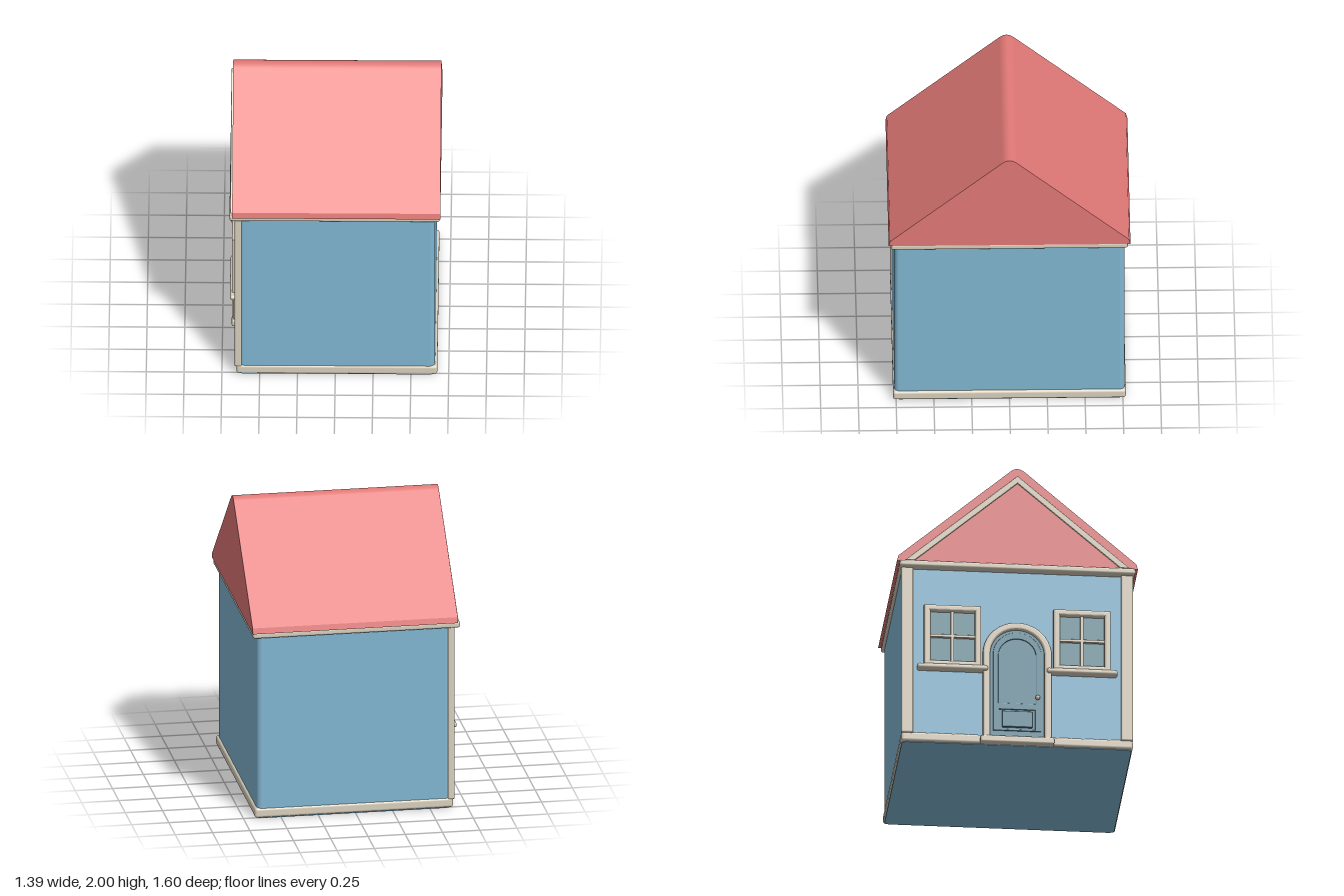
import * as THREE from 'three';
import { RoundedBoxGeometry } from 'three/addons/geometries/RoundedBoxGeometry.js';

const mat = (name, color) => Object.assign(new THREE.MeshStandardMaterial({ color }), { name });

export function createModel() {
  const house = new THREE.Group();
  house.name = 'house';
  const red = mat('roof red', 0xe07876);
  const blue = mat('wall blue', 0x80b6d1);
  const cream = mat('trim cream', 0xd8cfbd);
  const teal = mat('door teal', 0x5c8a9c);
  const glass = mat('glass teal', 0x6a949f);

  const add = (name, geo, material, x = 0, y = 0, z = 0, parent = house) => {
    const m = new THREE.Mesh(geo, material);
    m.name = name;
    m.position.set(x, y, z);
    parent.add(m);
    return m;
  };
  // Rounded box given by its extents
  const block = (name, material, [x0, x1], [y0, y1], [z0, z1], r, parent) =>
    add(name, new RoundedBoxGeometry(x1 - x0, y1 - y0, z1 - z0, 3, r), material,
      (x0 + x1) / 2, (y0 + y1) / 2, (z0 + z1) / 2, parent);
  // Plate drawn in the z-y plane and extruded from x = x0 outwards to x = x1 (towards -x)
  const plate = (name, shape, material, x0, x1, bevel = 0, parent = house) => {
    const geo = new THREE.ExtrudeGeometry(shape, {
      depth: x0 - x1 - bevel, bevelEnabled: bevel > 0, bevelThickness: bevel,
      bevelSize: bevel, bevelOffset: -bevel, bevelSegments: 3, curveSegments: 20,
    });
    geo.rotateY(-Math.PI / 2);
    return add(name, geo, material, x0, 0, 0, parent);
  };
  const poly = (pts) => new THREE.Shape(pts.map(([a, b]) => new THREE.Vector2(a, b)));
  const arch = (hw, y0, spring) => {
    const s = new THREE.Shape();
    s.moveTo(-hw, y0);
    s.lineTo(hw, y0);
    s.lineTo(hw, spring);
    s.absarc(0, spring, hw, 0, Math.PI, false);
    s.closePath();
    return s;
  };
  const rect = (z0, z1, y0, y1) => poly([[z0, y0], [z1, y0], [z1, y1], [z0, y1]]);

  // Walls with rounded upright corners
  const plan = new THREE.Shape();
  const [X0, X1, Z, R] = [-0.64, 0.66, 0.762, 0.035];
  plan.absarc(X1 - R, Z - R, R, 0, Math.PI / 2, false);
  plan.absarc(X0 + R, Z - R, R, Math.PI / 2, Math.PI, false);
  plan.absarc(X0 + R, -Z + R, R, Math.PI, Math.PI * 1.5, false);
  plan.absarc(X1 - R, -Z + R, R, Math.PI * 1.5, Math.PI * 2, false);
  const walls = new THREE.ExtrudeGeometry(plan, { depth: 1.28, bevelEnabled: false, curveSegments: 6 });
  walls.rotateX(-Math.PI / 2);
  add('walls', walls, blue);

  // Base moulding, eave moulding and corner posts
  block('baseMoulding', cream, [-0.655, 0.675], [0.003, 0.07], [-0.77, 0.77], 0.018);
  block('eaveMoulding', cream, [-0.7, 0.69], [1.26, 1.303], [-0.782, 0.782], 0.014);
  for (const s of [-1, 1]) {
    const z = [s * 0.69, s * 0.77].sort((a, b) => a - b);
    block('cornerPost', cream, [-0.666, -0.62], [0.06, 1.27], z, 0.01);
  }

  // Roof with a rounded ridge
  const roof = new THREE.Shape();
  roof.moveTo(-0.8, 1.3);
  roof.lineTo(0.8, 1.3);
  roof.lineTo(0.79, 1.338);
  roof.lineTo(0.045, 1.982);
  roof.quadraticCurveTo(0.022, 2, 0, 2);
  roof.quadraticCurveTo(-0.022, 2, -0.045, 1.982);
  roof.lineTo(-0.79, 1.338);
  roof.closePath();
  plate('roof', roof, red, 0.695, -0.682);

  // Raking trim on the gable over the door
  const rake = poly([[-0.745, 1.303], [-0.685, 1.303], [0, 1.893], [0.685, 1.303], [0.745, 1.303], [0, 1.945]]);
  plate('gableTrim', rake, cream, -0.675, -0.694, 0.005);

  // Door, its panels, surround, knob and step
  const door = new THREE.Group();
  door.name = 'door';
  house.add(door);
  plate('doorLeaf', arch(0.19, 0.04, 0.655), teal, -0.63, -0.655, 0, door);
  const frame = arch(0.16, 0.1, 0.655);
  frame.holes.push(arch(0.125, 0.3, 0.645), rect(-0.12, 0.12, 0.11, 0.255));
  plate('doorRails', frame, teal, -0.65, -0.662, 0.003, door);
  plate('lowerPanel', rect(-0.1, 0.1, 0.125, 0.24), teal, -0.65, -0.672, 0.005, door);
  const surround = new THREE.Shape();
  surround.moveTo(-0.228, 0.03);
  surround.lineTo(-0.18, 0.03);
  surround.lineTo(-0.18, 0.655);
  surround.absarc(0, 0.655, 0.18, Math.PI, 0, true);
  surround.lineTo(0.18, 0.03);
  surround.lineTo(0.228, 0.03);
  surround.lineTo(0.228, 0.655);
  surround.absarc(0, 0.655, 0.228, 0, Math.PI, false);
  surround.closePath();
  plate('doorSurround', surround, cream, -0.63, -0.68, 0.012, door);
  add('doorKnob', new THREE.SphereGeometry(0.016, 16, 12), cream, -0.68, 0.34, 0.135, door);
  block('doorStep', cream, [-0.69, -0.62], [0.003, 0.052], [-0.245, 0.245], 0.012, door);

  // Two windows, each with glass, frame, glazing bars and sill
  for (const s of [-1, 1]) {
    const c = s * 0.43;
    const win = new THREE.Group();
    win.name = s < 0 ? 'rightWindow' : 'leftWindow';
    house.add(win);
    plate('glassPane', rect(c - 0.17, c + 0.17, 0.55, 0.97), glass, -0.63, -0.65, 0, win);
    const ring = rect(c - 0.19, c + 0.19, 0.55, 0.99);
    ring.holes.push(rect(c - 0.148, c + 0.148, 0.585, 0.948));
    plate('windowFrame', ring, cream, -0.63, -0.686, 0.012, win);
    block('uprightBar', cream, [-0.67, -0.64], [0.57, 0.96], [c - 0.011, c + 0.011], 0.005, win);
    block('crossBar', cream, [-0.67, -0.64], [0.76, 0.782], [c - 0.16, c + 0.16], 0.005, win);
    block('windowSill', cream, [-0.698, -0.63], [0.522, 0.558], [c - 0.235, c + 0.235], 0.015, win);
  }

  return house;
}
